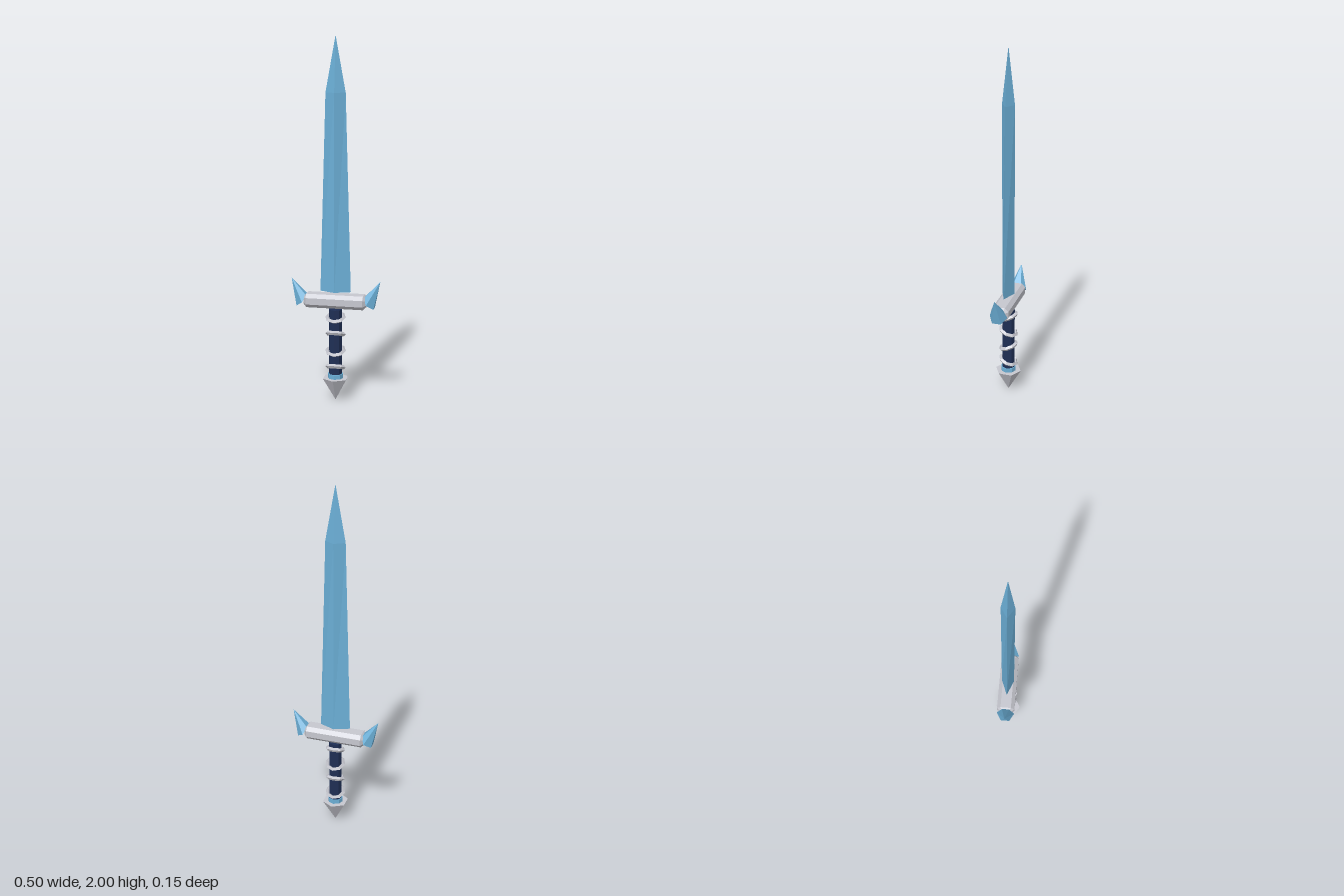
import * as THREE from 'three';

const material = (name, color) => {
  const m = new THREE.MeshStandardMaterial({ color, flatShading: true });
  m.name = name;
  return m;
};

// Joins equal-sized rings of points into a closed, faceted solid.
function loft(rings) {
  const pos = [];
  const tri = (a, b, c) => {
    const area = new THREE.Triangle(new THREE.Vector3(...a), new THREE.Vector3(...b), new THREE.Vector3(...c)).getArea();
    if (area > 1e-8) pos.push(...a, ...b, ...c);
  };
  const n = rings[0].length;
  for (let i = 0; i < rings.length - 1; i++) {
    for (let j = 0; j < n; j++) {
      const k = (j + 1) % n;
      const [a, b, c, d] = [rings[i][j], rings[i][k], rings[i + 1][k], rings[i + 1][j]];
      tri(a, b, c);
      tri(a, c, d);
    }
  }
  const first = rings[0], last = rings[rings.length - 1];
  for (let j = 1; j < n - 1; j++) {
    tri(first[0], first[j + 1], first[j]);
    tri(last[0], last[j], last[j + 1]);
  }
  const g = new THREE.BufferGeometry();
  g.setAttribute('position', new THREE.Float32BufferAttribute(pos, 3));
  g.computeVertexNormals();
  return g;
}

export function createModel() {
  const group = new THREE.Group();
  const blue = material('crystal blue', 0x6cb0d8);
  const silver = material('silver', 0xc6c7cf);
  const navy = material('grip navy', 0x1f2f55);

  const add = (name, geometry, mat, y = 0) => {
    const mesh = new THREE.Mesh(geometry, mat);
    mesh.name = name;
    mesh.position.y = y;
    group.add(mesh);
    return mesh;
  };

  // Blade: diamond section, tapering to a point
  const diamond = (y, w, d) => [[w, y, 0], [0, y, -d], [-w, y, 0], [0, y, d]];
  add('blade', loft([diamond(0.62, 0.085, 0.035), diamond(1.7, 0.055, 0.035), diamond(2, 0, 0)]), blue);

  // Crossguard: octagonal bar with chamfered ends
  const octagon = (x, s) => [
    [-0.018, -0.05], [0.018, -0.05], [0.038, -0.03], [0.038, 0.03],
    [0.018, 0.05], [-0.018, 0.05], [-0.038, 0.03], [-0.038, -0.03],
  ].map(([y, z]) => [x, y * s, z * s]);
  add('crossguard', loft([octagon(-0.175, 0.6), octagon(-0.158, 1), octagon(0.158, 1), octagon(0.175, 0.6)]), silver, 0.568);

  // Crystal spikes on both guard ends, six-sided and leaning outwards
  const base = [
    [0.215, 0.535, 0.025], [0.215, 0.535, -0.025], [0.178, 0.56, -0.05],
    [0.162, 0.595, -0.022], [0.162, 0.595, 0.022], [0.178, 0.56, 0.05],
  ];
  const spike = loft([base, base.map(() => [0.248, 0.685, 0])]);
  add('leftGuardSpike', spike, blue);
  add('rightGuardSpike', spike, blue).rotation.y = Math.PI;

  // Grip with four rings tilted alternately forwards and back
  add('grip', new THREE.CylinderGeometry(0.037, 0.037, 0.38, 8), navy, 0.33);
  for (let i = 0; i < 4; i++) {
    const ring = add('gripRing', new THREE.TorusGeometry(0.046, 0.012, 4, 8), silver, 0.19 + i * 0.095);
    ring.rotation.x = Math.PI / 2 + (i % 2 ? 0.36 : -0.36);
  }

  // Collar and pointed six-sided pommel
  add('collar', new THREE.CylinderGeometry(0.043, 0.043, 0.03, 8), blue, 0.138);
  add('pommel', new THREE.ConeGeometry(0.074, 0.128, 6), silver, 0.064).rotation.x = Math.PI;

  return group;
}
